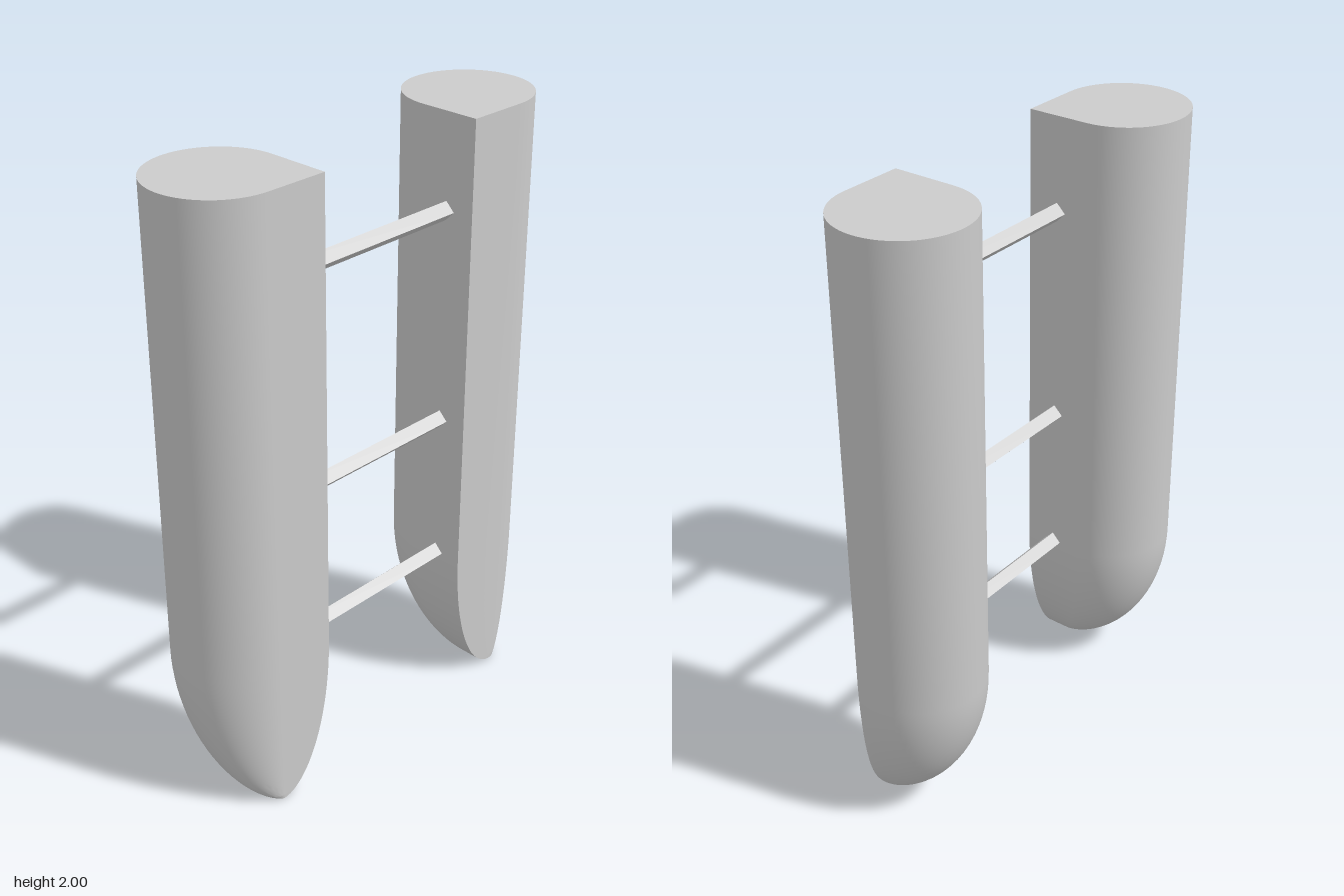
import * as THREE from 'three';
import { toCreasedNormals } from 'three/addons/utils/BufferGeometryUtils.js';

const material = new THREE.MeshStandardMaterial({ color: 0xcccccc });
const HULL_X = 0.5, RADIUS = 0.2, DECK_Z = 0.2, BOW = 0.5, TOP = 2;

// Hull cross-section: three quarters of a circle plus one square inner deck corner
function hullSection(arcSteps = 54) {
  const points = [[-RADIUS, DECK_Z]];
  for (let i = 0; i <= arcSteps; i++) {
    const a = Math.PI / 2 - (i / arcSteps) * Math.PI * 1.5;
    points.push([RADIUS * Math.cos(a), RADIUS * Math.sin(a)]);
  }
  return points;
}

// Loft the section upward; the bow shrinks elliptically toward a point on the deck plane
function hullGeometry(side) {
  const section = hullSection();
  const n = section.length, bowSteps = 24;
  const levels = [];
  for (let i = 0; i <= bowSteps; i++) {
    const t = (i / bowSteps) * Math.PI / 2;
    levels.push([BOW * (1 - Math.cos(t)), Math.sin(t)]);
  }
  levels.push([TOP, 1]);

  const rings = levels.map(([y, s]) => section.map(([u, w]) =>
    [HULL_X * side + side * u * s, y, DECK_Z + (w - DECK_Z) * s]));
  const positions = [];
  const triangle = (a, b, c) => positions.push(...a, ...(side > 0 ? b : c), ...(side > 0 ? c : b));

  for (let r = 0; r < rings.length - 1; r++) {
    const low = rings[r], high = rings[r + 1];
    for (let i = 0; i < n; i++) {
      const j = (i + 1) % n;
      if (r > 0) triangle(low[i], low[j], high[j]);
      triangle(low[i], high[j], high[i]);
    }
  }
  // Flat stern cap
  const stern = rings[rings.length - 1];
  for (let i = 1; i < n - 1; i++) triangle(stern[0], stern[i], stern[i + 1]);

  const geometry = new THREE.BufferGeometry();
  geometry.setAttribute('position', new THREE.Float32BufferAttribute(positions, 3));
  return toCreasedNormals(geometry, Math.PI / 5);
}

export function createModel() {
  const group = new THREE.Group();
  group.name = 'catamaran';

  // Twin hulls, mirrored
  for (const side of [1, -1]) {
    const hull = new THREE.Mesh(hullGeometry(side), material);
    hull.name = side > 0 ? 'leftHull' : 'rightHull';
    group.add(hull);
  }

  // Diamond-section crossbeams between the hulls
  const beamMaterial = material.clone();
  beamMaterial.flatShading = true;
  const beamGeometry = new THREE.CylinderGeometry(0.03, 0.03, 0.6, 4).rotateZ(Math.PI / 2);
  [0.5, 1, 1.7].forEach((y, i) => {
    const beam = new THREE.Mesh(beamGeometry, beamMaterial);
    beam.name = `crossbeam${i + 1}`;
    beam.position.set(0, y, 0.1);
    group.add(beam);
  });
  return group;
}
